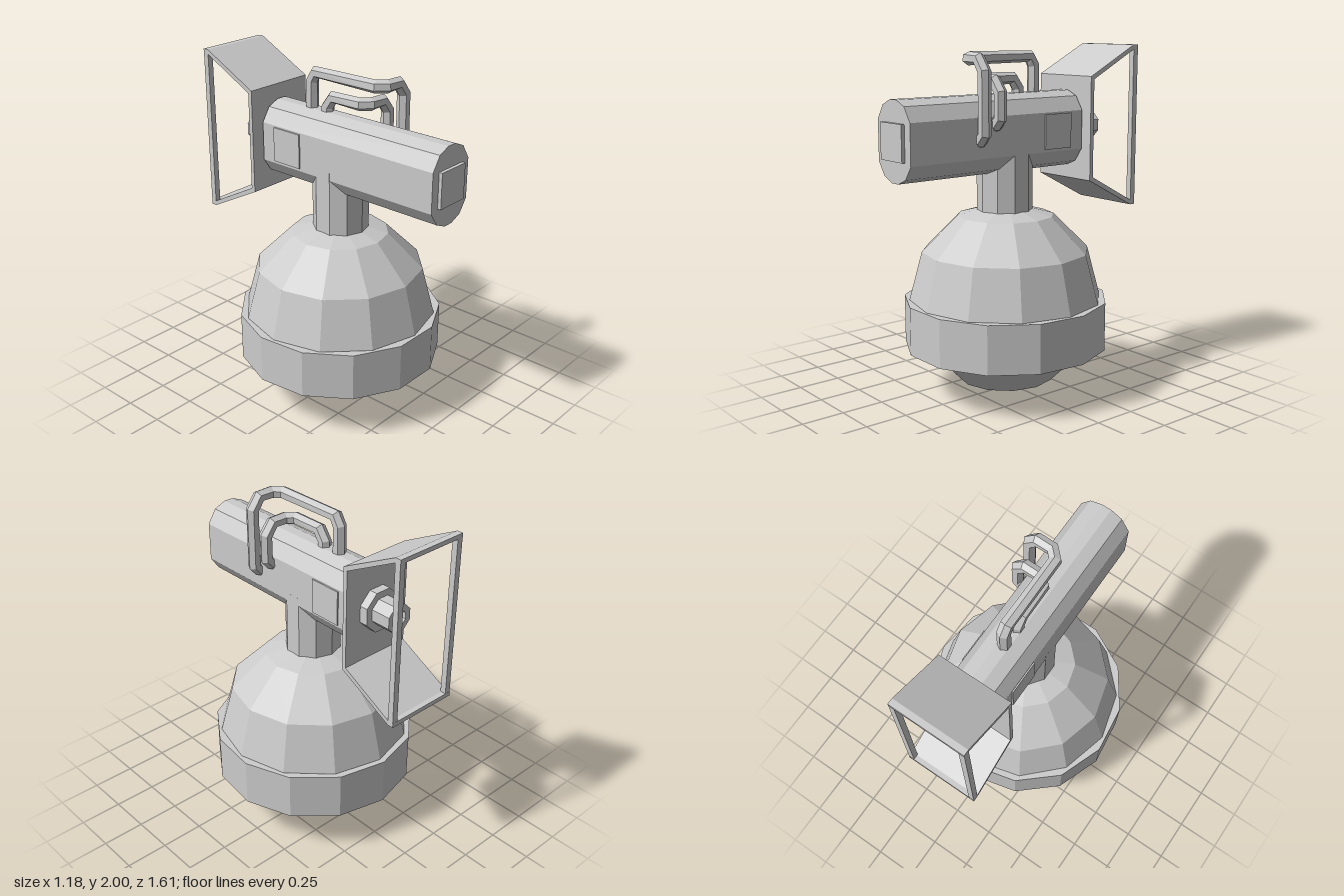
import * as THREE from 'three';

const material = new THREE.MeshStandardMaterial({ color: 0xcccccc, flatShading: true });

// Polyline whose tube rings fall exactly on its corners, with bisecting tangents
class Polyline extends THREE.Curve {
  constructor(points) {
    super();
    this.points = points.map((p) => new THREE.Vector3(...p));
  }
  getPoint(t, target = new THREE.Vector3()) {
    const last = this.points.length - 1;
    const i = Math.min(Math.floor(t * last + 1e-6), last - 1);
    return target.lerpVectors(this.points[i], this.points[i + 1], t * last - i);
  }
  getPointAt(u, target) {
    return this.getPoint(u, target);
  }
  getTangentAt(u, target = new THREE.Vector3()) {
    const last = this.points.length - 1;
    const i = Math.round(u * last);
    const direction = (a) => this.points[a + 1].clone().sub(this.points[a]).normalize();
    return target.copy(direction(Math.max(i - 1, 0))).add(direction(Math.min(i, last - 1))).normalize();
  }
}

function extrude(points, depth) {
  const shape = new THREE.Shape(points.map((p) => new THREE.Vector2(...p)));
  return new THREE.ExtrudeGeometry(shape, { depth, bevelEnabled: false });
}

export function createModel() {
  const group = new THREE.Group();
  const add = (name, geometry, x = 0, y = 0, z = 0) => {
    const mesh = new THREE.Mesh(geometry, material);
    mesh.name = name;
    mesh.position.set(x, y, z);
    group.add(mesh);
    return mesh;
  };

  // Faceted ball, its band and the neck share one axis
  const axisZ = 0.04;
  add('ball', new THREE.SphereGeometry(0.56, 12, 6), 0, 0.562, axisZ);
  add('band', new THREE.CylinderGeometry(0.592, 0.592, 0.28, 13, 1, false, Math.PI), 0, 0.42, axisZ);
  add('neck', new THREE.CylinderGeometry(0.16, 0.16, 0.4, 10), 0, 1.25, axisZ + 0.005);

  // Long barrel with a mirrored cross-section
  const half = [[0.03, 1.3], [0.1, 1.33], [0.152, 1.405], [0.152, 1.63], [0.1, 1.71], [0.03, 1.74]];
  const section = [...half, ...half.map(([x, y]) => [-x, y]).reverse()];
  add('barrel', extrude(section, 1.195), 0, 0, -0.41);
  add('frontPlate', new THREE.BoxGeometry(0.2, 0.2, 0.04), 0, 1.52, 0.785);
  for (const side of [-1, 1]) {
    add(side > 0 ? 'leftPanel' : 'rightPanel', new THREE.BoxGeometry(0.02, 0.2, 0.195), side * 0.15, 1.52, -0.222);
  }

  // Bent handles running over the top and down the left side
  const handle = (name, points) => {
    const path = new Polyline(points);
    add(name, new THREE.TubeGeometry(path, points.length - 1, 0.037, 6, false));
    // Cap the free end
    const end = path.points.at(-1);
    const cap = add(name + 'Cap', new THREE.SphereGeometry(0.034, 6, 4));
    cap.position.copy(end);
  };
  handle('largeHandle', [
    [0, 1.72, -0.165], [0, 1.89, -0.165], [0, 1.94, -0.135], [0, 1.94, 0.285], [0.045, 1.94, 0.33],
    [0.135, 1.94, 0.33], [0.183, 1.875, 0.33], [0.183, 1.54, 0.33], [0.145, 1.5, 0.33],
  ]);
  handle('smallHandle', [
    [0, 1.7, -0.05], [0, 1.765, -0.05], [0, 1.822, -0.01], [0, 1.822, 0.18], [0.045, 1.822, 0.222],
    [0.135, 1.822, 0.222], [0.183, 1.76, 0.222], [0.183, 1.62, 0.222], [0.145, 1.58, 0.222],
  ]);

  // Flared rear shield, open at its sides and back
  const shieldProfile = [
    [0.42, 1.22], [0.765, 1.04], [0.8, 1.04], [0.8, 1.065], [0.77, 1.065], [0.445, 1.238],
    [0.445, 1.808], [0.77, 1.975], [0.8, 1.975], [0.8, 2], [0.765, 2], [0.42, 1.825],
  ];
  add('rearShield', extrude(shieldProfile, 0.44), -0.225).rotation.y = Math.PI / 2;
  for (const [name, x] of [['rightRearPost', -0.208], ['leftRearPost', 0.198]]) {
    add(name, new THREE.BoxGeometry(0.034, 0.94, 0.034), x, 1.52, -0.782);
  }

  // Hollow octagonal nozzle inside the shield
  const nozzle = [[0.125, 0], [0.125, 0.055], [0.085, 0.055], [0.085, 0.175], [0.048, 0.175], [0.048, 0.06], [0, 0.06]];
  const nozzleGeometry = new THREE.LatheGeometry(nozzle.map((p) => new THREE.Vector2(...p)), 8, Math.PI / 8);
  add('nozzle', nozzleGeometry, 0, 1.525, -0.44).rotation.x = -Math.PI / 2;

  return group;
}
